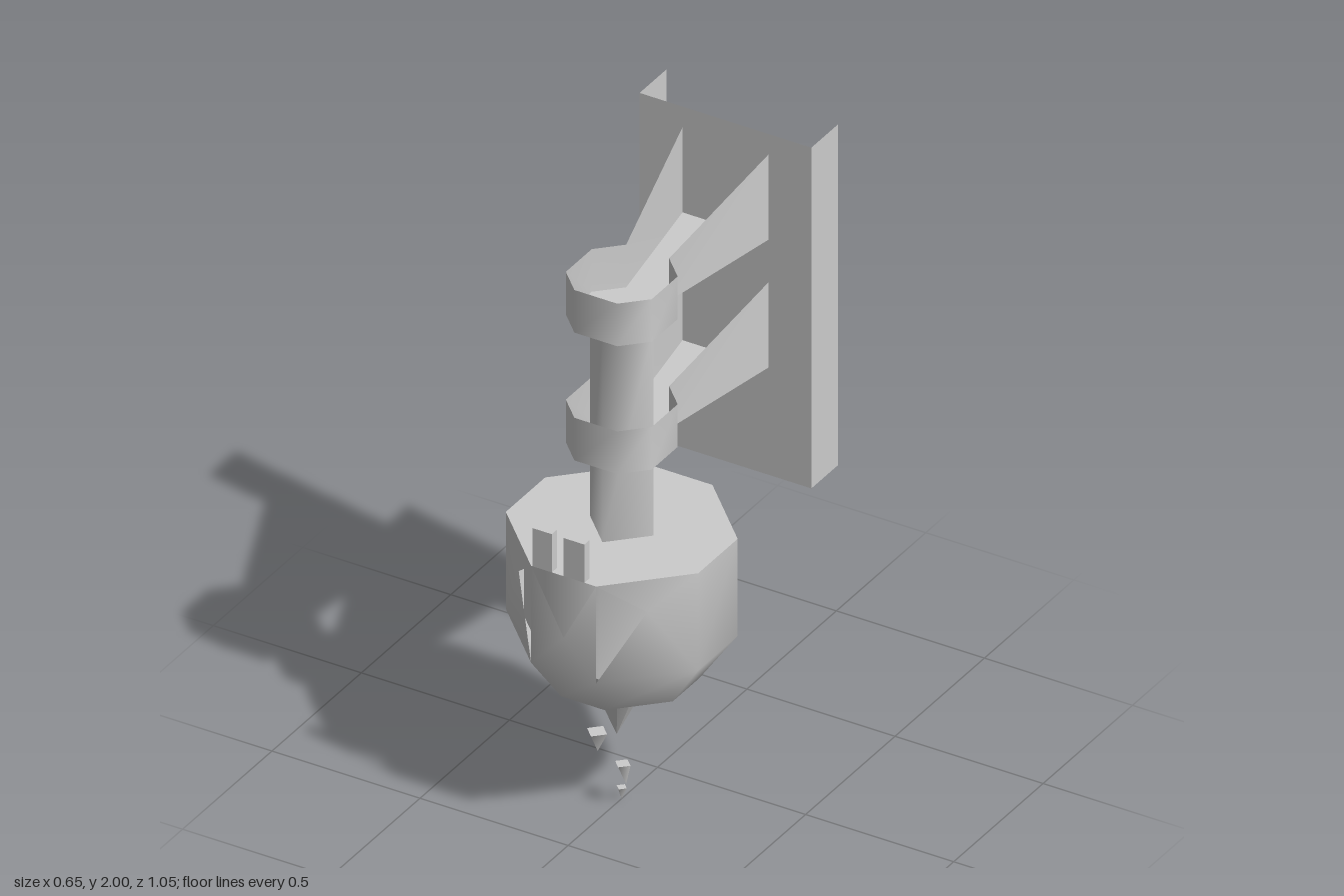
import * as THREE from 'three';

const CZ = 0.2; // axis of pole, rings, pot and spout
const material = new THREE.MeshStandardMaterial({ color: 0xcccccc, side: THREE.DoubleSide });

// Octagon corners [x, z], starting at the front and turning towards +x
const octagon = (h, a) => [
  [a, h], [h, a], [h, -a], [a, -h], [-a, -h], [-h, -a], [-h, a], [-a, h],
].map(([x, z]) => [x, CZ + z]);

const at = (points, y) => points.map(([x, z]) => [x, y, z]);

function meshOf(name, geometry) {
  const mesh = new THREE.Mesh(geometry, material);
  mesh.name = name;
  return mesh;
}

// Smooth surface from corner points and triangles
function surface(name, corners, index) {
  const g = new THREE.BufferGeometry();
  g.setAttribute('position', new THREE.Float32BufferAttribute(corners.flat(), 3));
  g.setIndex(index);
  g.computeVertexNormals();
  return meshOf(name, g);
}

// Wall strip between a lower and an upper row of points
function wall(name, low, high, closed) {
  const n = low.length, index = [];
  for (let i = 0; i < (closed ? n : n - 1); i++) {
    const j = (i + 1) % n;
    index.push(i, j, n + j, i, n + j, n + i);
  }
  return surface(name, [...low, ...high], index);
}

// Flat horizontal panel from an [x, z] outline
function cap(name, outline, y, faceDown = false) {
  const shape = new THREE.Shape(outline.map(([x, z]) => new THREE.Vector2(x, faceDown ? z : -z)));
  const g = new THREE.ShapeGeometry(shape);
  g.rotateX(faceDown ? Math.PI / 2 : -Math.PI / 2);
  g.translate(0, y, 0);
  return meshOf(name, g);
}

function box(name, x0, x1, y0, y1, z0, z1) {
  const g = new THREE.BoxGeometry(x1 - x0, y1 - y0, z1 - z0);
  g.translate((x0 + x1) / 2, (y0 + y1) / 2, (z0 + z1) / 2);
  return meshOf(name, g);
}

// Back plate: tray with an open top and back
function backPlate() {
  const group = new THREE.Group();
  group.name = 'backPlate';
  const u = [[-0.29, -0.53], [-0.29, -0.38], [0.29, -0.38], [0.29, -0.53]];
  for (let i = 0; i < 3; i++) {
    const side = [u[i], u[i + 1]];
    group.add(wall(i === 1 ? 'plateFront' : 'plateFlange', at(side, 0.84), at(side, 2), false));
  }
  group.add(cap('plateBottom', u, 0.84, true));
  return group;
}

// Bracket: octagonal cup joined to the plate by two rising side walls
function bracket(y) {
  const group = new THREE.Group();
  group.name = 'bracket';
  const ring = octagon(0.145, 0.0725);
  const outline = [
    [-0.145, -0.38], ...ring.slice(4), ...ring.slice(0, 4), [0.145, -0.38],
  ];
  const top = outline.map(([x, z]) => [x, y + (z < -0.3 ? 0.29 : 0.145), z]);
  group.add(wall('bracketWall', at(outline, y), top, false));
  group.add(cap('bracketFloor', outline, y, true));
  return group;
}

// Pot: octagonal wall with three triangular openings at the front
function pot() {
  const group = new THREE.Group();
  group.name = 'pot';
  const rim = octagon(0.325, 0.11);
  const foot = octagon(0.217, 0.074);
  const corners = [
    ...at(foot, 0.44), ...at(rim, 0.6), ...at(rim, 0.93),
    [0.217, 0.82, 0.417], [-0.217, 0.82, 0.417], [0, 0.72, 0.525],
  ];
  const index = [];
  for (let i = 0; i < 8; i++) {
    const j = (i + 1) % 8;
    index.push(i, j, 8 + j, i, 8 + j, 8 + i);
    if (i > 0 && i < 6) index.push(8 + i, 8 + j, 16 + j, 8 + i, 16 + j, 16 + i);
  }
  // notched corner panels and the front panel with its V opening
  index.push(8, 9, 24, 9, 17, 24, 17, 16, 24);
  index.push(14, 15, 25, 14, 25, 22, 22, 25, 23);
  index.push(15, 8, 26, 15, 26, 23, 8, 16, 26);
  group.add(surface('potWall', corners, index));
  group.add(cap('potTop', rim, 0.93));
  // inner lining seen through the openings
  const lining = octagon(0.275, 0.09);
  group.add(wall('lining', at(lining, 0.58), at(lining, 0.92), true));
  group.add(cap('liningFloor', lining, 0.58, true));
  return group;
}

// Downward spike from a ring of points to a tip
function spike(name, base, y, tip) {
  const group = new THREE.Group();
  group.name = name;
  group.add(wall(name + 'Side', base.map(() => tip), at(base, y), true));
  group.add(cap(name + 'Top', base, y));
  return group;
}

const diamond = (x, z, r) => [[x, z + r], [x + r, z], [x, z - r], [x - r, z]];

export function createModel() {
  const model = new THREE.Group();
  model.name = 'wallMountedDripper';
  model.add(backPlate(), bracket(1.64), bracket(1.205), pot());

  // Four-sided pole with its corners on the axes
  const pole = diamond(0, CZ, 0.108);
  model.add(wall('pole', at(pole, 0.93), at(pole, 1.64), true));

  // Two small tabs on the front rim
  model.add(box('tab', -0.105, -0.04, 0.93, 1.06, 0.495, 0.525));
  model.add(box('tab', 0, 0.07, 0.93, 1.06, 0.495, 0.525));

  // Spout and falling drops
  model.add(spike('spout', octagon(0.145, 0.0725), 0.57, [-0.037, 0.19, 0.167]));
  model.add(spike('drop', diamond(-0.038, 0.275, 0.034), 0.257, [-0.036, 0.19, 0.275]));
  model.add(spike('drop', diamond(0.026, 0.237, 0.026), 0.148, [0.036, 0.08, 0.235]));
  model.add(spike('drop', diamond(0, 0.2, 0.017), 0.04, [0, 0, 0.2]));
  return model;
}
